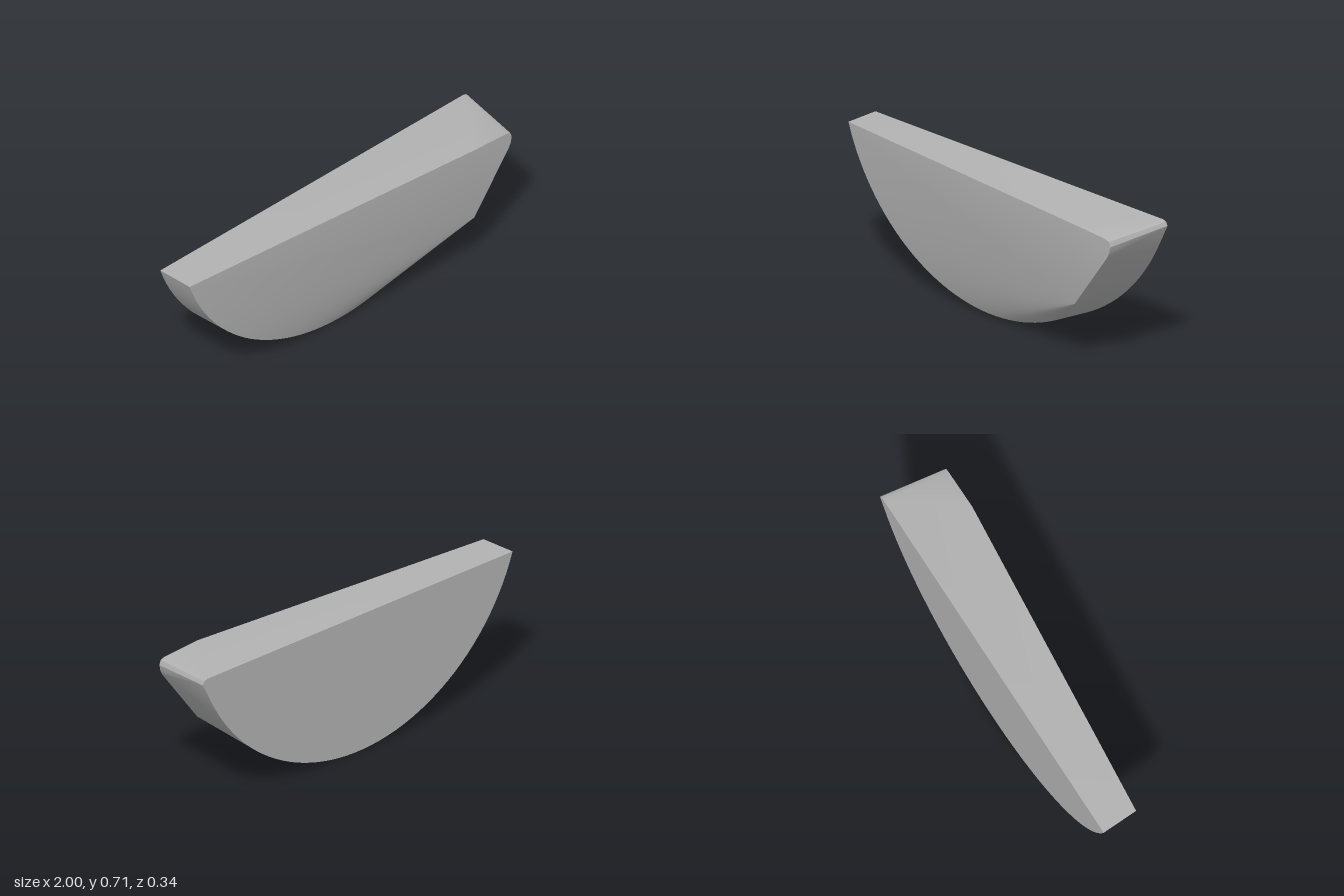
import * as THREE from 'three';
import { ConvexGeometry } from 'three/addons/geometries/ConvexGeometry.js';
import { toCreasedNormals } from 'three/addons/utils/BufferGeometryUtils.js';

const CENTER_Y = 1.057;
const TOP = 0.715;

// Points on the curved rim, from the left tip to x = endX
function rimArc(radius, endX, z, steps) {
  const startX = -Math.sqrt(radius ** 2 - (CENTER_Y - TOP) ** 2);
  const a0 = Math.asin(startX / radius);
  const a1 = Math.asin(endX / radius);
  return Array.from({ length: steps + 1 }, (_, i) => {
    const a = a0 + ((a1 - a0) * i) / steps;
    return new THREE.Vector3(radius * Math.sin(a), CENTER_Y - radius * Math.cos(a), z);
  });
}

const corner = (points, z) => points.map(([x, y]) => new THREE.Vector3(x, y, z));

export function createModel() {
  const grey = new THREE.MeshStandardMaterial({ color: 0xb2b2b2 });
  grey.name = 'grey';

  const points = [
    // flat back outline with its rounded top corner
    ...rimArc(1.057, 0.975, -0.17, 48),
    ...corner([[0.99, 0.672], [1, 0.69], [0.99, 0.709], [0.97, TOP]], -0.17),
    // slimmer rim where the sloping front starts
    ...rimArc(1.045, 0.55, 0.018, 40),
    // thick end, flat at the front
    ...corner([[0.72, 0.307], [0.945, 0.605], [0.957, 0.63], [0.963, 0.66],
      [0.955, 0.685], [0.93, 0.694], [0.72, 0.708]], 0.17),
  ];

  const wedge = new THREE.Mesh(toCreasedNormals(new ConvexGeometry(points), 0.45), grey);
  wedge.name = 'halfMoonWedge';

  const group = new THREE.Group();
  group.name = 'wedge';
  group.add(wedge);
  return group;
}
